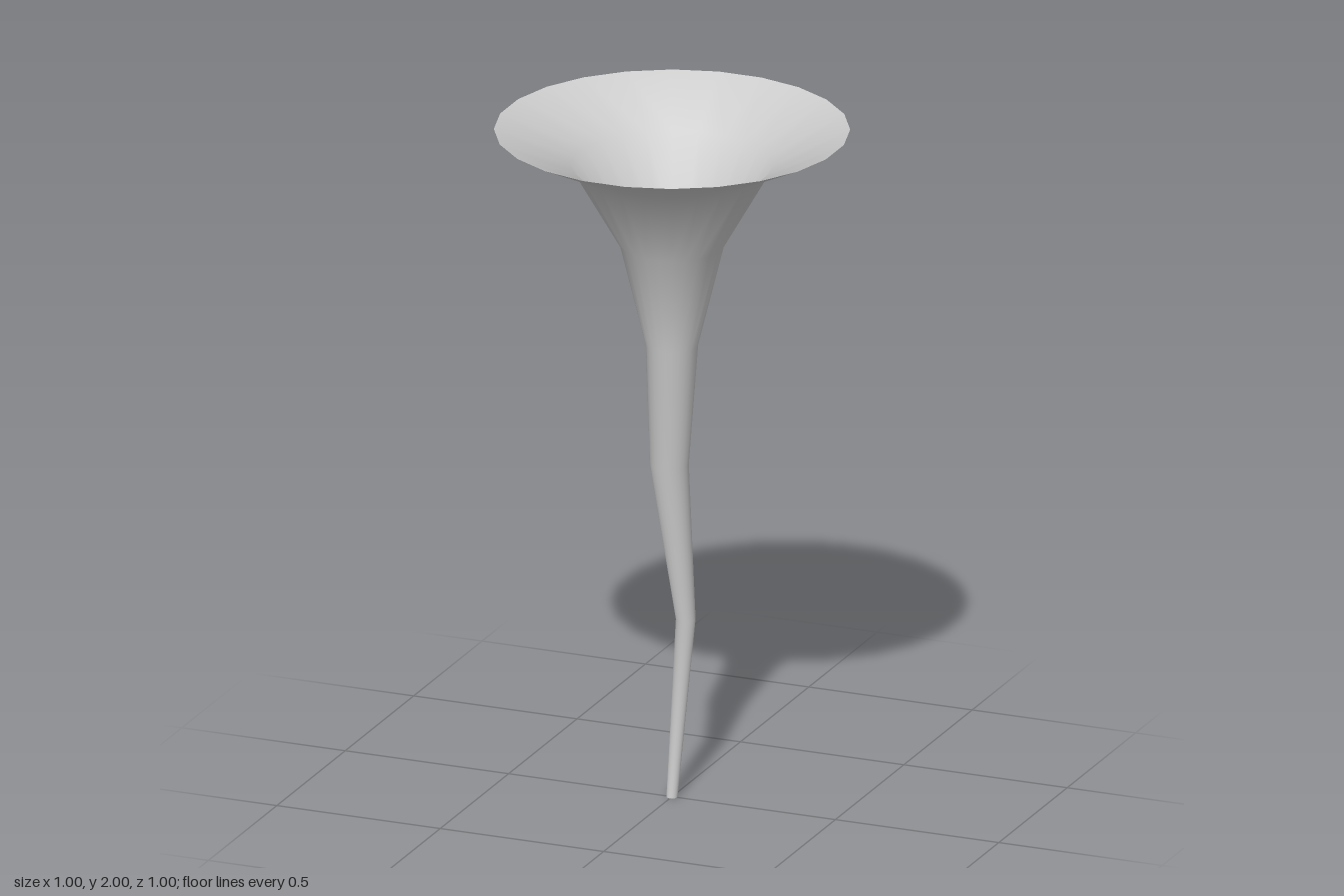
import * as THREE from 'three';

const SIDES = 24;

// Cross-sections from the tip up to the rim: [y, radius, centre x, centre z]
const RINGS = [
  [0, 0.016, 0, 0],
  [0.51, 0.028, 0.011, -0.074],
  [1.0, 0.055, -0.003, 0.012],
  [1.355, 0.074, 0, 0],
  [1.655, 0.148, 0, 0],
  [1.895, 0.286, 0, 0],
  [2.0, 0.503, 0, 0],
];

// Skin a smooth open tube through the rings
function skinRings(rings) {
  const positions = [];
  const indices = [];
  for (const [y, r, cx, cz] of rings) {
    for (let i = 0; i < SIDES; i++) {
      const a = ((i + 0.5) / SIDES) * Math.PI * 2;
      positions.push(cx + r * Math.cos(a), y, cz + r * Math.sin(a));
    }
  }
  for (let j = 0; j < rings.length - 1; j++) {
    for (let i = 0; i < SIDES; i++) {
      const next = (i + 1) % SIDES;
      const a = j * SIDES + i;
      const b = j * SIDES + next;
      indices.push(a, a + SIDES, b, b, a + SIDES, b + SIDES);
    }
  }
  const geometry = new THREE.BufferGeometry();
  geometry.setAttribute('position', new THREE.Float32BufferAttribute(positions, 3));
  geometry.setIndex(indices);
  geometry.computeVertexNormals();
  return geometry;
}

export function createModel() {
  const group = new THREE.Group();
  group.name = 'funnel';

  // Flared bell running down into a thin, bent stem, open at both ends
  const material = new THREE.MeshStandardMaterial({ color: 0xcccccc, side: THREE.DoubleSide });
  const funnel = new THREE.Mesh(skinRings(RINGS), material);
  funnel.name = 'bellAndStem';
  group.add(funnel);

  return group;
}
